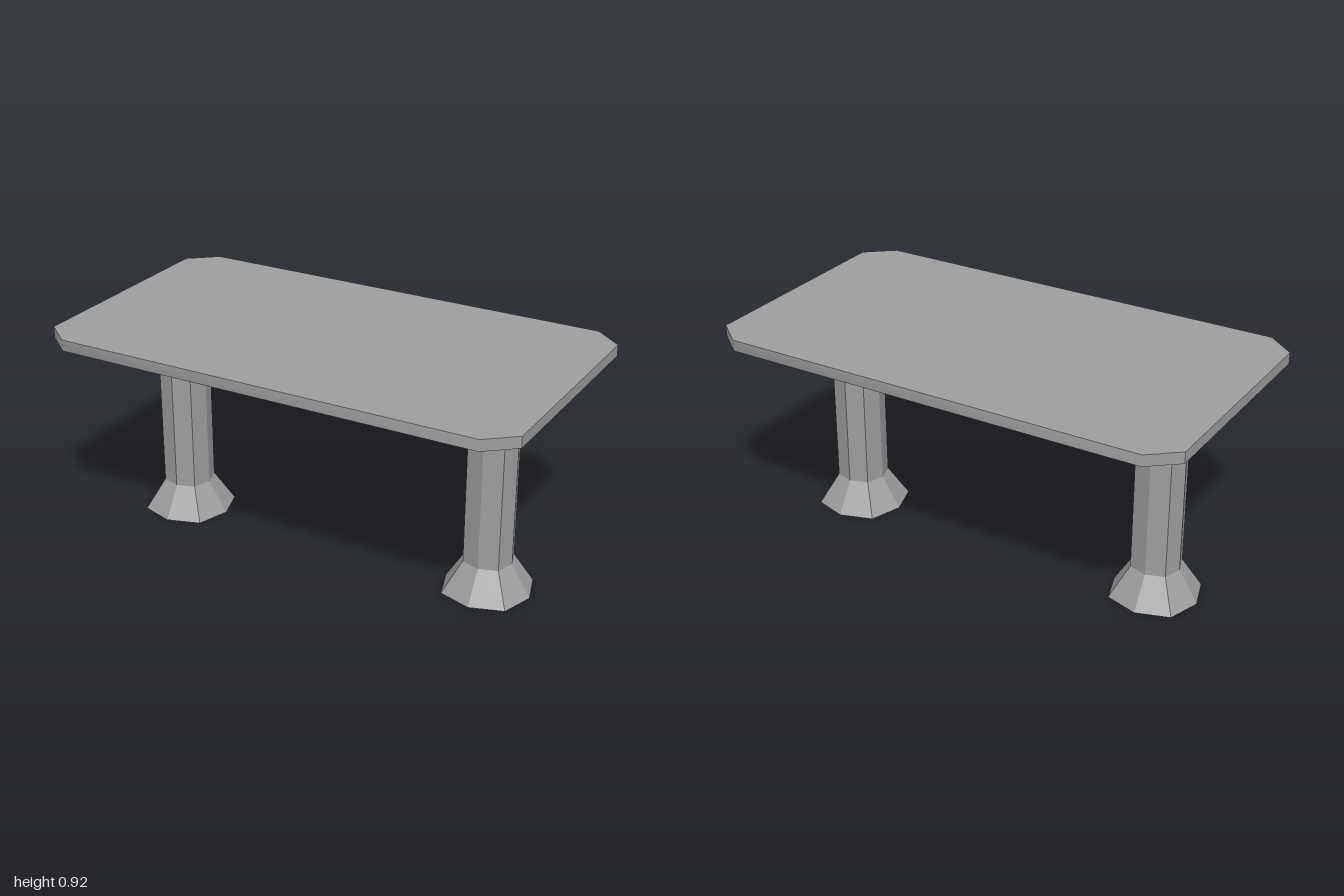
import * as THREE from 'three';
import { toCreasedNormals } from 'three/addons/utils/BufferGeometryUtils.js';

export function createModel() {
  const group = new THREE.Group();
  group.name = 'table';
  const color = 0x9f9f9f;

  // Tabletop: slab with clipped corners, shaded softly from the long sides into the corners
  const w = 1, d = 0.555, cx = 0.885, cz = 0.46;
  const outline = new THREE.Shape([
    [cx, -d], [w, -cz], [w, cz], [cx, d],
    [-cx, d], [-w, cz], [-w, -cz], [-cx, -d],
  ].map(([x, y]) => new THREE.Vector2(x, y)));
  const slab = new THREE.ExtrudeGeometry(outline, { depth: 0.046, bevelEnabled: false });
  slab.rotateX(-Math.PI / 2).translate(0, 0.878, 0);
  const tabletop = new THREE.Mesh(
    toCreasedNormals(slab, THREE.MathUtils.degToRad(45)),
    new THREE.MeshStandardMaterial({ color }),
  );
  tabletop.name = 'tabletop';
  group.add(tabletop);

  // Pedestal: open eight-sided column, flared at foot and head
  const profile = [[0.181, 0], [0.1, 0.131], [0.1, 0.653], [0.234, 0.878]]
    .map(([r, y]) => new THREE.Vector2(r, y));
  const column = new THREE.LatheGeometry(profile, 8);

  // Push the diagonal corners out slightly, so the section is a softened square
  const pos = column.attributes.position;
  for (let i = 0; i < pos.count; i++) {
    const x = pos.getX(i), z = pos.getZ(i);
    if (Math.abs(Math.abs(x) - Math.abs(z)) < 0.01) pos.setXYZ(i, x * 1.07, pos.getY(i), z * 1.07);
  }

  const pedestalMaterial = new THREE.MeshStandardMaterial({
    color, flatShading: true, side: THREE.DoubleSide,
  });
  for (const [name, x] of [['leftPedestal', 0.704], ['rightPedestal', -0.704]]) {
    const pedestal = new THREE.Mesh(column, pedestalMaterial);
    pedestal.name = name;
    pedestal.position.x = x;
    group.add(pedestal);
  }
  return group;
}
